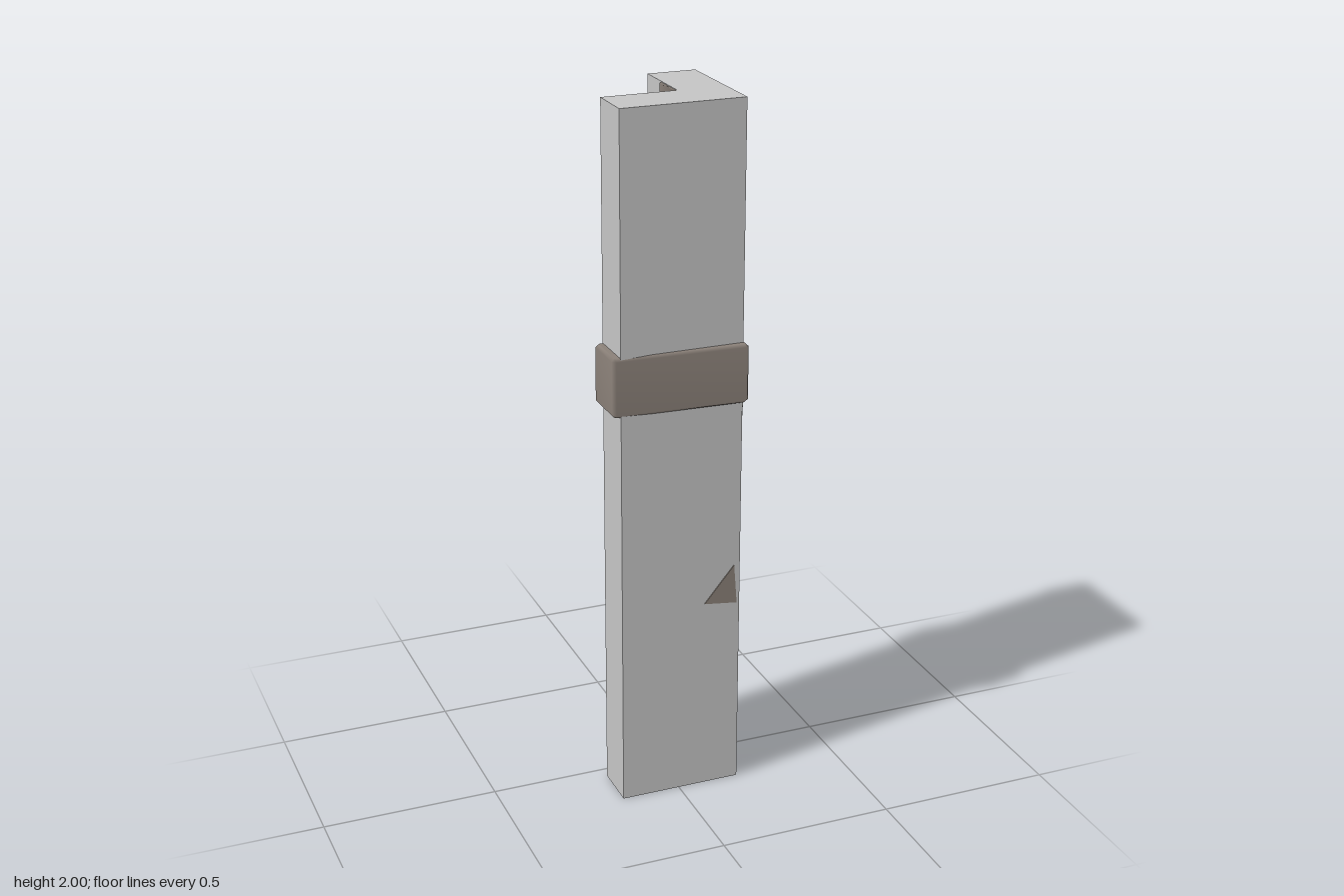
import * as THREE from 'three';
import { mergeVertices } from 'three/addons/utils/BufferGeometryUtils.js';

const concrete = new THREE.MeshStandardMaterial({ color: 0xc4c4c4 });
concrete.name = 'pale grey';
const stone = new THREE.MeshStandardMaterial({ color: 0x8a8078 });
stone.name = 'brown grey stone';

// Upright prism from a plan outline given as [x, z] points
function prism(plan, y0, y1, bevel = 0) {
  const shape = new THREE.Shape(plan.map(([x, z]) => new THREE.Vector2(x, -z)));
  const g = new THREE.ExtrudeGeometry(shape, {
    depth: y1 - y0 - 2 * bevel, bevelEnabled: bevel > 0, bevelThickness: bevel,
    bevelSize: bevel, bevelOffset: -bevel, bevelSegments: 1,
  });
  g.rotateX(-Math.PI / 2);
  g.translate(0, y0 + bevel, 0);
  return g;
}

// Shared normals give the worn, rounded look of the stones
function smooth(g) {
  g.deleteAttribute('uv');
  g.deleteAttribute('normal');
  const merged = mergeVertices(g, 1e-4);
  merged.computeVertexNormals();
  return merged;
}

export function createModel() {
  const model = new THREE.Group();
  model.name = 'cornerPillar';
  const add = (name, geometry, material) => {
    const mesh = new THREE.Mesh(geometry, material);
    mesh.name = name;
    model.add(mesh);
    return mesh;
  };

  // L-shaped pillar, its inner corner facing back and to -x
  add('pillar', prism([
    [-0.17, 0.172], [0.181, 0.172], [0.181, -0.173],
    [0.043, -0.173], [0.043, 0.037], [-0.17, 0.037],
  ], 0, 2), concrete);

  // Stone band wrapping the whole pillar, with clipped corners
  add('band', smooth(prism([
    [-0.193, 0.165], [-0.183, 0.175], [0.182, 0.193], [0.191, 0.185],
    [0.191, -0.188], [0.182, -0.197], [0.048, -0.197], [0.039, -0.188],
    [0.039, 0.032], [-0.184, 0.032], [-0.193, 0.042],
  ], 1.168, 1.335, 0.008)), stone);

  // Stones lining the inner corner: [bottom, top, end in x, end in z]
  const stones = [
    [0, 0.295, -0.166, -0.17],
    [0.303, 0.517, -0.11, -0.106],
    [0.56, 0.745, -0.166, -0.17],
    [0.75, 0.913, -0.07, -0.078],
    [0.94, 1.165, -0.138, -0.17],
    [1.34, 1.55, -0.11, -0.106],
    [1.56, 1.785, -0.166, -0.17],
    [1.787, 1.998, -0.07, -0.078],
  ];
  stones.forEach(([y0, y1, x, z], i) => {
    add(`cornerStone${i + 1}`, smooth(prism([
      [0.039, 0.032], [x, 0.032], [x, 0.07], [0.08, 0.07], [0.08, z], [0.039, z],
    ], y0, y1, 0.004)), stone);
  });

  // Slivers of stone breaking through the outer faces
  const chip = (points) => new THREE.ExtrudeGeometry(
    new THREE.Shape(points.map(([a, b]) => new THREE.Vector2(a, b))),
    { depth: 0.006, bevelEnabled: false });
  add('frontChip', chip([[0.075, 0.575], [0.172, 0.563], [0.163, 0.68]]), stone)
    .position.z = 0.169;
  const sideChip = add('sideChip', chip([[-0.155, 1.0], [-0.125, 1.168], [-0.17, 1.168]]), stone);
  sideChip.rotation.y = Math.PI / 2;
  sideChip.position.x = 0.178;

  return model;
}
